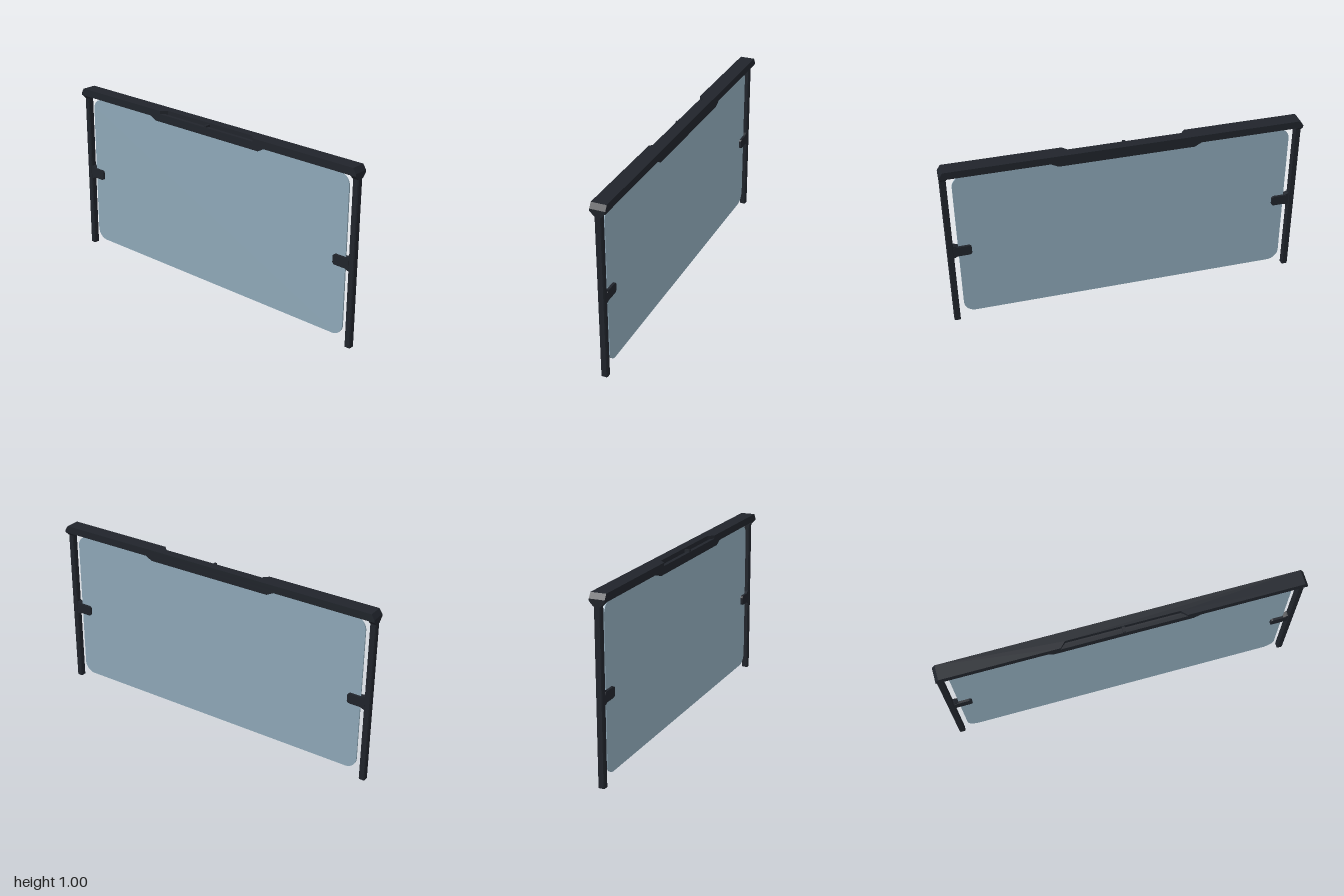
import * as THREE from 'three';

const frameMat = new THREE.MeshStandardMaterial({ color: 0x20242b, flatShading: true });
const glassMat = new THREE.MeshStandardMaterial({ color: 0x8ea8b8 });

function polygon(points) {
  return new THREE.Shape(points.map(([x, y]) => new THREE.Vector2(x, y)));
}

function roundedRect(x0, y0, x1, y1, r) {
  const s = new THREE.Shape();
  s.absarc(x1 - r, y0 + r, r, -Math.PI / 2, 0);
  s.absarc(x1 - r, y1 - r, r, 0, Math.PI / 2);
  s.absarc(x0 + r, y1 - r, r, Math.PI / 2, Math.PI);
  s.absarc(x0 + r, y0 + r, r, Math.PI, Math.PI * 1.5);
  return s;
}

// extrusion centred on z = 0
function slab(shape, depth, curveSegments = 8) {
  return new THREE.ExtrudeGeometry(shape, { depth, bevelEnabled: false, curveSegments })
    .translate(0, 0, -depth / 2);
}

function add(parent, name, geometry, material = frameMat) {
  const mesh = new THREE.Mesh(geometry, material);
  mesh.name = name;
  parent.add(mesh);
  return mesh;
}

export function createModel() {
  const model = new THREE.Group();
  model.name = 'framedGlassScreen';

  // glass with rounded corners
  add(model, 'glassPanel', slab(roundedRect(-0.937, 0.042, 0.937, 0.942, 0.065), 0.008, 12), glassMat);

  // top rail
  const rail = new THREE.Group();
  rail.name = 'topRail';
  model.add(rail);

  // lower body with the dropped centre
  add(rail, 'railBody', slab(polygon([
    [-1, 0.958], [-0.415, 0.958], [-0.375, 0.937], [0.375, 0.937],
    [0.415, 0.958], [1, 0.958], [1, 0.972], [-1, 0.972],
  ]), 0.084));

  // upper layer in plan, notched at the front; its ends lean inward at the top
  const cap = new THREE.ExtrudeGeometry(polygon([
    [-1, -0.042], [-0.34, -0.042], [-0.31, -0.01], [0.31, -0.01],
    [0.34, -0.042], [1, -0.042], [1, 0.042], [-1, 0.042],
  ]), { depth: 0.028, bevelEnabled: false });
  cap.rotateX(-Math.PI / 2).translate(0, 0.972, 0);
  const p = cap.attributes.position;
  for (let i = 0; i < p.count; i++) {
    if (p.getY(i) > 0.99 && Math.abs(p.getX(i)) > 0.9) p.setX(i, Math.sign(p.getX(i)) * 0.982);
  }
  cap.computeVertexNormals();
  add(rail, 'railCap', cap);

  // lip in front of the slot, and the slot divider
  const lip = new THREE.ExtrudeGeometry(polygon([
    [-0.34, -0.042], [0.34, -0.042], [0.32, -0.021], [-0.32, -0.021],
  ]), { depth: 0.01, bevelEnabled: false });
  add(rail, 'slotLip', lip.rotateX(-Math.PI / 2).translate(0, 0.972, 0));
  add(rail, 'slotDivider', new THREE.BoxGeometry(0.015, 0.02, 0.03).translate(0, 0.982, 0.025));

  // chamfered post section in x and z
  const c = 0.005, w = 0.0175, d = 0.018;
  const section = polygon([
    [-w + c, -d], [w - c, -d], [w, -d + c], [w, d - c],
    [w - c, d], [-w + c, d], [-w, d - c], [-w, -d + c],
  ]);

  for (const side of [-1, 1]) {
    const group = new THREE.Group();
    group.name = side > 0 ? 'leftSide' : 'rightSide';
    model.add(group);

    const post = new THREE.ExtrudeGeometry(section, { depth: 0.965, bevelEnabled: false });
    add(group, 'post', post.rotateX(-Math.PI / 2).translate(side * 0.9825, 0, 0));

    // flare from post to rail
    const flare = slab(polygon([[-0.018, 0.935], [0.018, 0.935], [0.041, 0.959], [-0.041, 0.959]]), 0.035);
    add(group, 'postFlare', flare.rotateY(Math.PI / 2).translate(side * 0.9825, 0, 0));

    // clip holding the glass, widening where it meets the post
    const clip = new THREE.Group();
    clip.name = 'glassClip';
    clip.position.set(side * 0.967, 0.47, 0);
    clip.rotation.y = side > 0 ? 0 : Math.PI;
    group.add(clip);
    add(clip, 'clipJaw', slab(roundedRect(-0.102, -0.029, 0, 0.029, 0.015), 0.034, 4));
    add(clip, 'clipRoot', slab(polygon([
      [0.003, -0.041], [0.003, 0.041], [-0.01, 0.037], [-0.028, 0.029], [-0.028, -0.029], [-0.01, -0.037],
    ]), 0.03));
  }
  return model;
}
